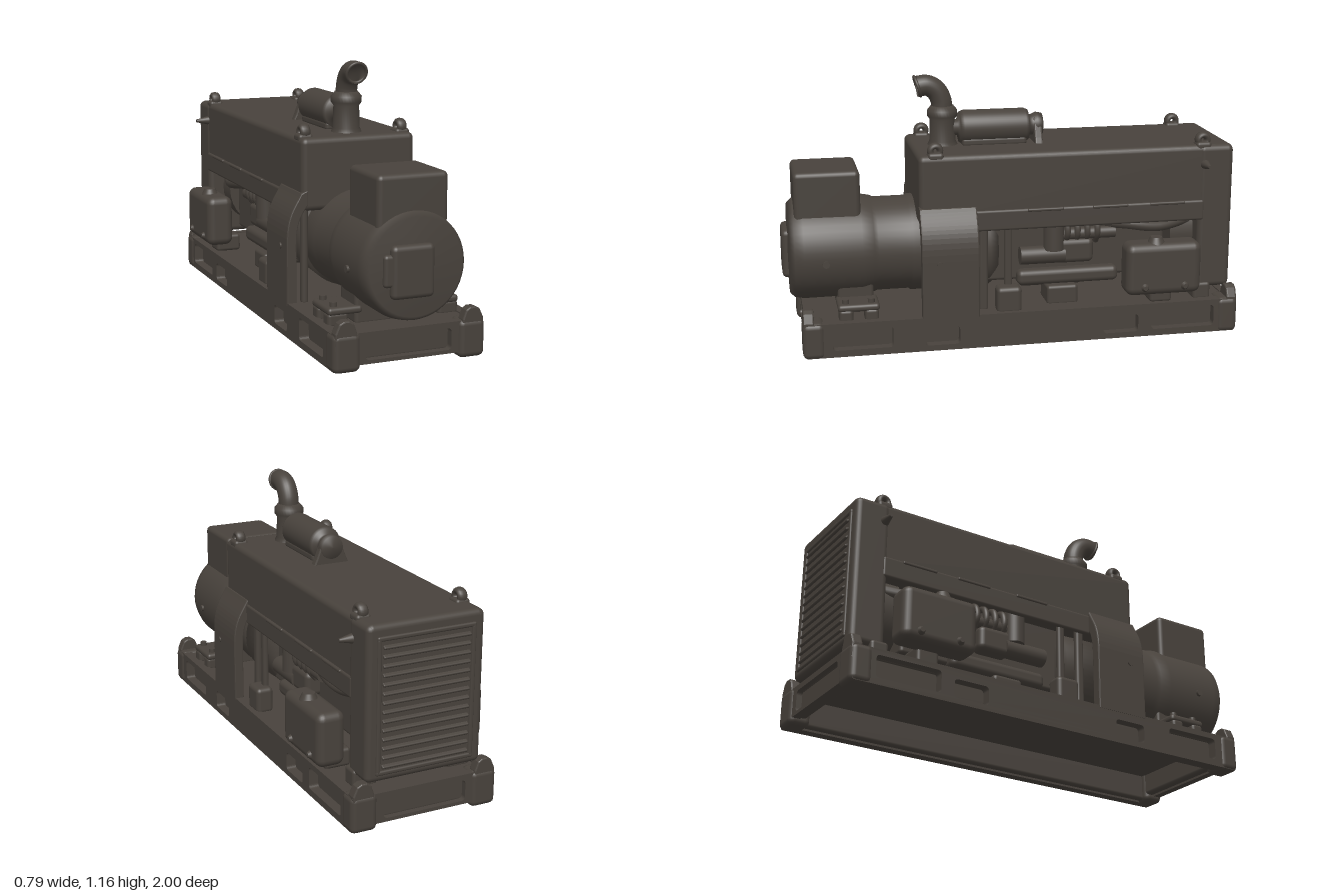
import * as THREE from 'three';
import { RoundedBoxGeometry } from 'three/addons/geometries/RoundedBoxGeometry.js';

export function createModel() {
  const model = new THREE.Group();
  model.name = 'generatorSet';
  const paint = new THREE.MeshStandardMaterial({ color: 0x48423c, side: THREE.DoubleSide });
  paint.name = 'dark grey paint';

  const add = (name, geo, x = 0, y = 0, z = 0) => {
    const m = new THREE.Mesh(geo, paint);
    m.name = name;
    m.position.set(x, y, z);
    model.add(m);
    return m;
  };
  // rounded box given by its limits on each axis
  const box = (name, x0, x1, y0, y1, z0, z1, r = 0.015) => {
    const w = x1 - x0, h = y1 - y0, d = z1 - z0;
    return add(name, new RoundedBoxGeometry(w, h, d, 3, Math.min(r, w * 0.45, h * 0.45, d * 0.45)),
      (x0 + x1) / 2, (y0 + y1) / 2, (z0 + z1) / 2);
  };
  const sideBox = (name, s, x0, x1, ...rest) =>
    s > 0 ? box(name, x0, x1, ...rest) : box(name, -x1, -x0, ...rest);
  // cylinder along 'x', 'y' or 'z'
  const rod = (name, axis, r, len, x, y, z, r2 = r) => {
    const g = new THREE.CylinderGeometry(r2, r, len, 32);
    if (axis === 'x') g.rotateZ(-Math.PI / 2);
    if (axis === 'z') g.rotateX(Math.PI / 2);
    return add(name, g, x, y, z);
  };
  // turned part along z; profile points are [radius, z]
  const turned = (name, pts, y) => {
    const g = new THREE.LatheGeometry(pts.map(p => new THREE.Vector2(p[0], p[1])), 48);
    g.rotateX(Math.PI / 2);
    return add(name, g, 0, y, 0);
  };
  // smooth pipe through [x, y, z] points
  const pipe = (name, pts, r, sides = 12) => add(name, new THREE.TubeGeometry(
    new THREE.CatmullRomCurve3(pts.map(p => new THREE.Vector3(...p))), 24, r, sides));
  // outline of [x, y] points, bevelled and centred on z
  const slab = (name, pts, depth, z) => add(name, new THREE.ExtrudeGeometry(
    new THREE.Shape(pts.map(p => new THREE.Vector2(p[0], p[1]))),
    { depth, bevelThickness: 0.008, bevelSize: 0.006, bevelSegments: 3 }), 0, 0, z - depth / 2);
  const roundRect = (P, a0, a1, y0, y1, r) => {
    const p = new P();
    p.moveTo(a0 + r, y0);
    p.lineTo(a1 - r, y0); p.quadraticCurveTo(a1, y0, a1, y0 + r);
    p.lineTo(a1, y1 - r); p.quadraticCurveTo(a1, y1, a1 - r, y1);
    p.lineTo(a0 + r, y1); p.quadraticCurveTo(a0, y1, a0, y1 - r);
    p.lineTo(a0, y0 + r); p.quadraticCurveTo(a0, y0, a0 + r, y0);
    return p;
  };
  // pierced plate, extruded along +z
  const plate = (a0, a1, y0, y1, depth, holes) => {
    const s = roundRect(THREE.Shape, a0, a1, y0, y1, 0.012);
    for (const h of holes) s.holes.push(roundRect(THREE.Path, ...h, 0.018));
    return new THREE.ExtrudeGeometry(s, { depth, bevelEnabled: false });
  };

  // Base frame: pierced side rails with backing, end beams, deck
  const pockets = [[-0.81, -0.55, 0.035, 0.13], [-0.41, -0.26, 0.03, 0.11],
    [0.38, 0.54, 0.03, 0.11], [0.6, 0.89, 0.035, 0.13]];
  for (const s of [1, -1]) {
    const rail = plate(-0.92, 0.99, 0.005, 0.155, 0.045, pockets).rotateY(Math.PI / 2);
    add('sideRail', rail, s > 0 ? 0.28 : -0.325);
    sideBox('railWeb', s, 0.245, 0.282, 0.01, 0.15, -0.98, 0.91);
    const end = plate(-0.29, 0.29, 0.025, 0.155, 0.035, [[-0.19, 0.185, 0.04, 0.13]]);
    add('endBeam', end, 0, 0, s > 0 ? 0.885 : -0.99);
    const z = s > 0 ? 0.87 : -0.94;
    box('endWeb', -0.29, 0.29, 0.03, 0.15, z - 0.025, z + 0.017);
    // corner posts with tapered lifting lugs
    for (const e of [1, -1]) {
      const [z0, z1] = e > 0 ? [0.84, 0.935] : [-1, -0.905];
      sideBox('cornerPost', s, 0.215, 0.332, 0, 0.16, z0, z1, 0.025);
      slab('cornerLug', [[0.23, 0.1], [0.32, 0.1], [0.318, 0.16], [0.302, 0.196], [0.285, 0.205],
        [0.265, 0.205], [0.25, 0.195], [0.237, 0.16]].map(p => [s * p[0], p[1]]), 0.03, e > 0 ? 0.908 : -0.973);
    }
  }
  box('deck', -0.29, 0.29, 0.125, 0.15, -0.97, 0.9, 0.01);

  // Hood and radiator housing
  box('hood', -0.257, 0.257, 0.54, 0.848, -0.98, 0.42, 0.025);
  box('radiatorHousing', -0.262, 0.262, 0.195, 0.846, -0.98, -0.825, 0.025);
  for (let i = 0; i < 14; i++) {
    const l = box('louvre', -0.195, 0.195, -0.006, 0.006, -0.012, 0.022, 0.005);
    l.position.set(0, 0.265 + i * 0.038, -0.976);
    l.rotation.x = -0.5;
  }
  for (const x of [-0.21, 0.21]) box('grilleUpright', x - 0.01, x + 0.01, 0.235, 0.79, -0.987, -0.965, 0.008);
  for (const y of [0.235, 0.79]) box('grilleRail', -0.22, 0.22, y - 0.01, y + 0.01, -0.987, -0.965, 0.008);

  for (const s of [1, -1]) {
    sideBox('hoodSill', s, 0.24, 0.264, 0.51, 0.602, -0.85, 0.18);
    for (const z of [-0.13, -0.42, -0.68]) sideBox('sillSlot', s, 0.25, 0.269, 0.588, 0.602, z - 0.08, z + 0.08, 0.006);
    // uprights and housing feet
    sideBox('frontUpright', s, 0.225, 0.255, 0.14, 0.6, 0.375, 0.41);
    sideBox('middleUpright', s, 0.225, 0.252, 0.14, 0.56, 0.015, 0.05);
    sideBox('rearUpright', s, 0.21, 0.24, 0.14, 0.56, 0.12, 0.16);
    sideBox('uprightFoot', s, 0.22, 0.3, 0.14, 0.26, -0.02, 0.09, 0.02);
    sideBox('radiatorFoot', s, 0.16, 0.27, 0.14, 0.22, -0.89, -0.81);
    // curved side guard
    const g = new THREE.Shape();
    g.moveTo(s * 0.235, 0.625);
    g.lineTo(s * 0.258, 0.615);
    g.bezierCurveTo(s * 0.285, 0.56, s * 0.325, 0.53, s * 0.322, 0.4);
    g.lineTo(s * 0.322, 0.15);
    g.lineTo(s * 0.288, 0.15);
    g.lineTo(s * 0.288, 0.4);
    g.bezierCurveTo(s * 0.288, 0.5, s * 0.265, 0.53, s * 0.235, 0.57);
    add('sideGuard', new THREE.ExtrudeGeometry(g, {
      depth: 0.236, bevelThickness: 0.006, bevelSize: 0.005, bevelSegments: 2, curveSegments: 12
    }), 0, 0, 0.179);
    rod('guardBolt', 'x', 0.013, 0.01, s * 0.328, 0.39, 0.345);
    // side tank with cap and lower bolts
    sideBox('sideTank', s, 0.258, 0.383, 0.21, 0.443, -0.808, -0.468, 0.035);
    rod('tankCap', 'y', 0.042, 0.035, s * 0.33, 0.448, -0.61, 0.026);
    for (const z of [-0.73, -0.55]) rod('tankBolt', 'x', s > 0 ? 0.026 : 0.01, 0.026, s * 0.382, 0.25, z, s > 0 ? 0.01 : 0.026);
    sideBox('tankBracket', s, 0.18, 0.3, 0.15, 0.23, -0.7, -0.6);
    // side hooks and lifting eyes
    rod('sideHook', 'x', s > 0 ? 0.022 : 0.007, 0.065, s * 0.285, 0.762, -0.85, s > 0 ? 0.007 : 0.022);
    for (const z of [0.345, -0.845]) {
      const eye = add('liftingEye', new THREE.TorusGeometry(0.021, 0.014, 10, 24), s * 0.222, 0.867, z);
      eye.rotation.y = Math.PI / 2;
      eye.scale.z = 1.6;
      sideBox('eyeBase', s, 0.19, 0.255, 0.825, 0.86, z - 0.034, z + 0.034, 0.014);
    }
  }

  // Alternator
  turned('alternatorBody', [[0, 0.3], [0.2, 0.3], [0.215, 0.33], [0.215, 0.44], [0.208, 0.45], [0.208, 0.59],
    [0.216, 0.61], [0.225, 0.66], [0.226, 0.91], [0.218, 0.95], [0.2, 0.97], [0, 0.978]].reverse(), 0.41);
  box('endCover', -0.115, 0.07, 0.29, 0.505, 0.94, 1, 0.022);
  box('endCoverTab', -0.145, -0.08, 0.34, 0.47, 0.94, 0.99);
  box('terminalBox', -0.155, 0.15, 0.52, 0.775, 0.66, 0.945, 0.022);
  box('alternatorPedestal', -0.17, 0.17, 0.14, 0.3, 0.615, 0.77);
  for (const s of [1, -1]) {
    sideBox('alternatorFoot', s, 0.14, 0.29, 0.19, 0.222, 0.6, 0.78);
    for (const z of [0.635, 0.745]) {
      sideBox('mountBlock', s, 0.2, 0.29, 0.14, 0.2, z - 0.03, z + 0.03);
      rod('mountBolt', 'y', 0.015, 0.03, s * 0.255, 0.225, z);
    }
    rod('housingBolt', 'x', 0.015, 0.03, s * 0.22, 0.39, 0.82);
  }

  // Engine
  turned('flywheelHousing', [[0, 0.06], [0.17, 0.06], [0.2, 0.1], [0.21, 0.31], [0, 0.32]].reverse(), 0.39);
  box('engineBlock', -0.155, 0.155, 0.25, 0.57, -0.7, 0.12);
  box('oilPan', -0.12, 0.12, 0.2, 0.28, -0.34, -0.04, 0.025);
  rod('fanShroud', 'z', 0.19, 0.12, 0, 0.43, -0.78);
  for (const s of [1, -1]) {
    sideBox('engineMount', s, 0.07, 0.22, 0.14, 0.23, -0.29, -0.15);
    sideBox('blockFlange', s, 0.12, 0.2, 0.23, 0.3, -0.48, -0.02, 0.025);
    sideBox('sideCover', s, 0.13, 0.22, 0.33, 0.44, -0.36, -0.2, 0.025);
    rod('starter', 'z', 0.04, 0.2, s * 0.19, 0.37, -0.13);
    rod('filter', 'y', 0.045, 0.15, s * 0.2, 0.47, -0.18);
    for (let i = 0; i < 4; i++) {
      const z = -0.24 - i * 0.045;
      pipe('manifoldPipe', [[s * 0.12, 0.54, z], [s * 0.2, 0.52, z], [s * 0.215, 0.47, z], [s * 0.18, 0.42, z]], 0.014);
    }
    rod('manifold', 'z', 0.027, 0.26, s * 0.19, 0.46, -0.33);
    pipe('coolantHose', [[s * 0.16, 0.5, -0.4], [s * 0.21, 0.5, -0.5], [s * 0.21, 0.48, -0.65], [s * 0.15, 0.5, -0.83]], 0.025);
  }

  // Muffler and exhaust stack
  turned('muffler', [[0, -0.17], [0.05, -0.165], [0.055, -0.14], [0.046, -0.12], [0.046, -0.105], [0.068, -0.1],
    [0.075, -0.085], [0.075, 0.19], [0.067, 0.207], [0.035, 0.215], [0.035, 0.28], [0, 0.28]].reverse(), 0.92);
  slab('mufflerBracket', [[-0.08, 0.84], [0.08, 0.84], [0.065, 0.87], [0.035, 0.95], [-0.035, 0.95], [-0.065, 0.87]], 0.02, -0.14);
  box('mufflerSaddle', -0.06, 0.06, 0.84, 0.88, -0.09, 0.2);
  const stack = [[0.07, 0.84], [0.058, 0.865], [0.055, 0.96], [0.066, 0.975], [0.066, 1.0], [0.05, 1.02], [0, 1.02]];
  add('exhaustCollar', new THREE.LatheGeometry(stack.map(p => new THREE.Vector2(p[0], p[1])), 32), 0, 0, 0.28);
  pipe('exhaustElbow', [[0, 1.0, 0.28], [0, 1.045, 0.285], [0, 1.088, 0.308], [0, 1.11, 0.345], [0, 1.107, 0.39]], 0.046, 24);
  const rim = add('exhaustRim', new THREE.TorusGeometry(0.044, 0.007, 10, 32), 0, 1.107, 0.388);
  rim.rotation.x = 0.3;

  return model;
}
